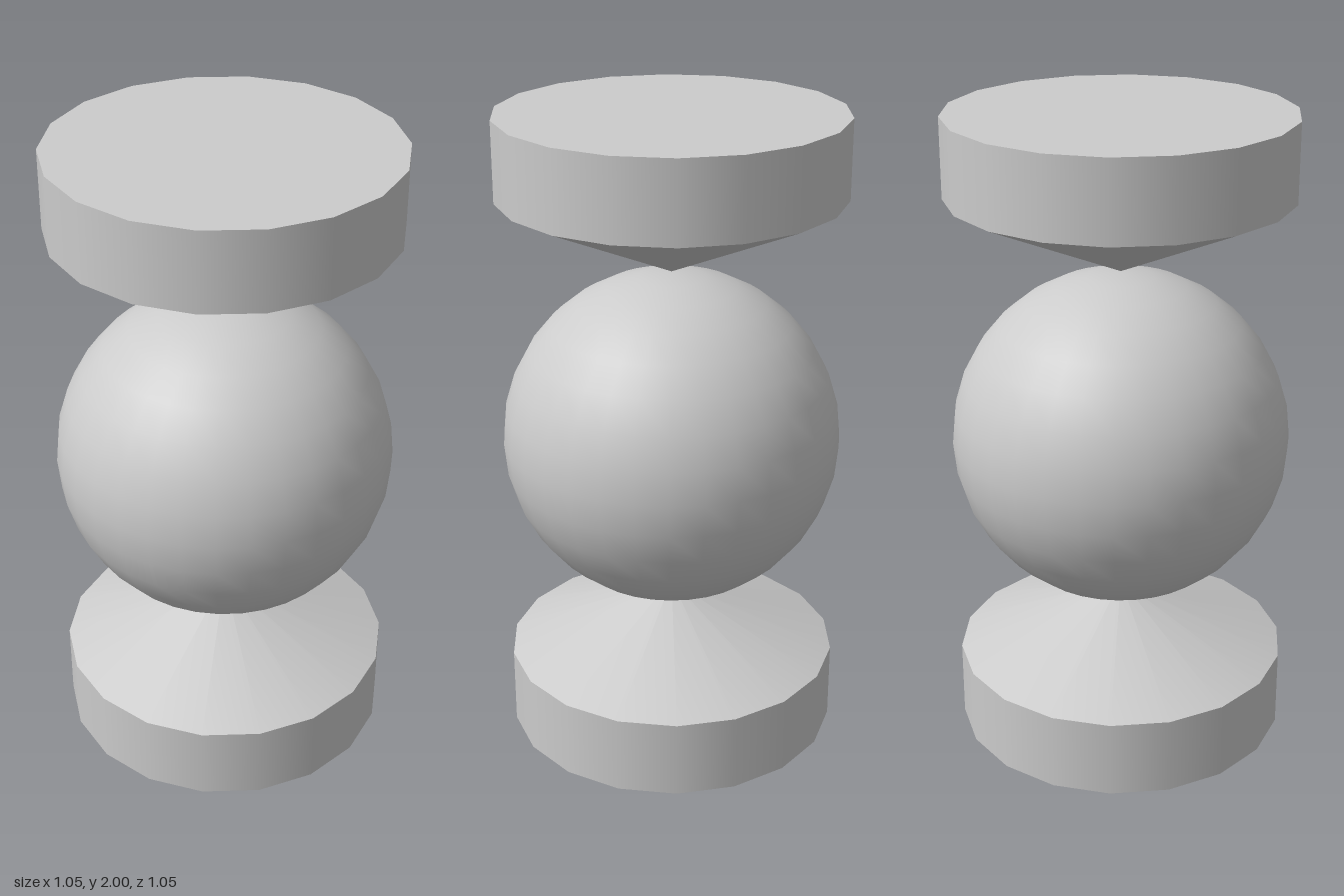
import * as THREE from 'three';

const RADIUS = 0.525;
const SIDES = 18;

export function createModel() {
  const model = new THREE.Group();
  const material = new THREE.MeshStandardMaterial({ color: 0xcccccc });

  const add = (parent, name, geometry, y) => {
    const mesh = new THREE.Mesh(geometry, material);
    mesh.name = name;
    mesh.position.y = y;
    parent.add(mesh);
    return mesh;
  };

  // A disc with a shallow cone on its inner face; a corner points along x
  const addEnd = (name, y, discHeight, coneHeight, down) => {
    const end = new THREE.Group();
    end.name = name;
    end.position.y = y;
    if (down) end.rotation.x = Math.PI;
    add(end, 'disc', new THREE.CylinderGeometry(
      RADIUS, RADIUS, discHeight, SIDES, 1, false, Math.PI / 2), discHeight / 2);
    add(end, 'cone', new THREE.ConeGeometry(
      RADIUS, coneHeight, SIDES, 1, true, Math.PI / 2), discHeight + coneHeight / 2);
    model.add(end);
  };

  addEnd('base', 0, 0.248, 0.212, false);
  addEnd('top', 2, 0.243, 0.239, true);

  // Ball held between the two cone tips
  add(model, 'ball', new THREE.SphereGeometry(RADIUS, 32, 16), 0.987);

  return model;
}
